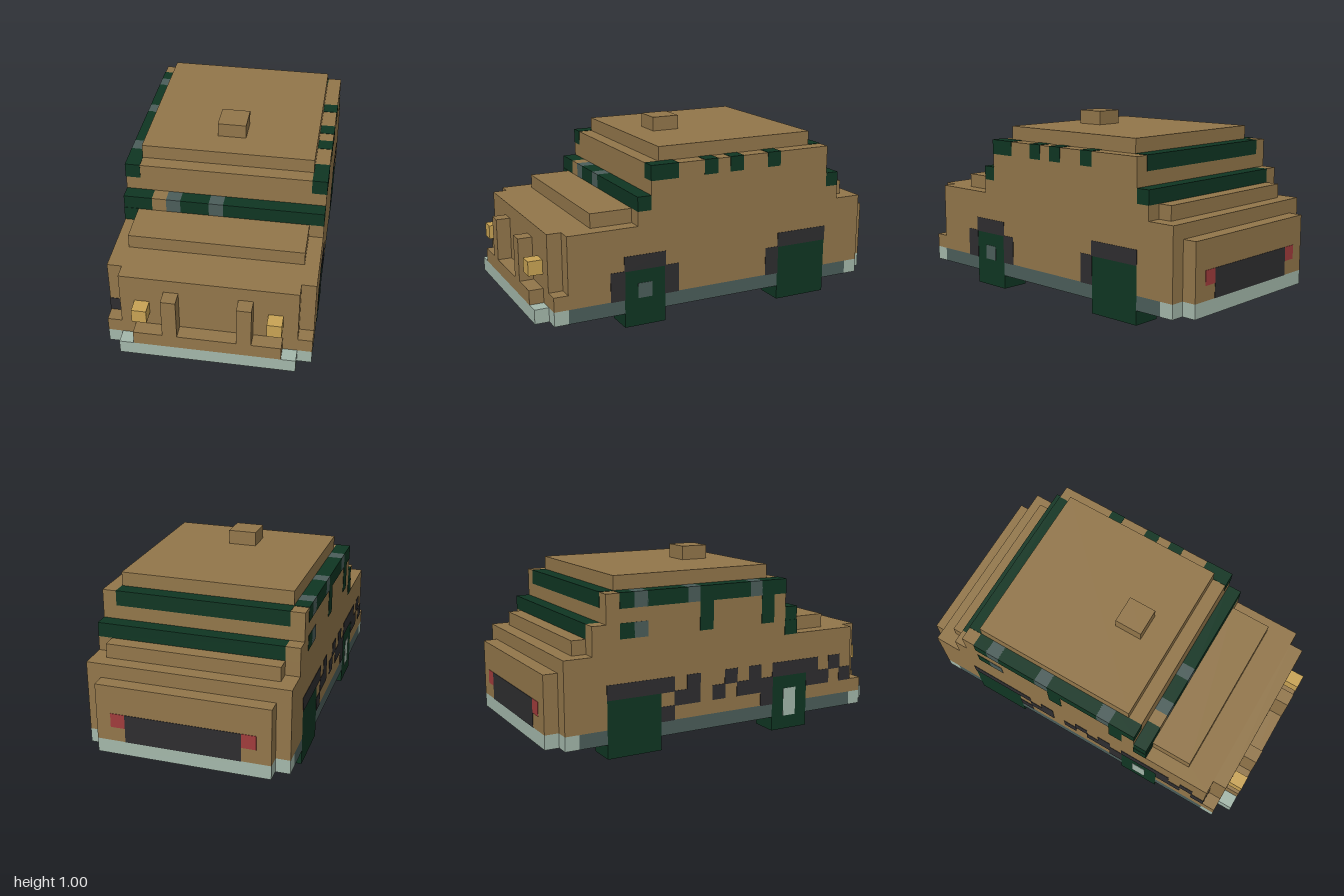
import * as THREE from 'three';

const U = 1 / 13; // one block

function mat(name, color) {
  const m = new THREE.MeshStandardMaterial({ color });
  m.name = name;
  return m;
}

export function createModel() {
  const car = new THREE.Group();
  car.name = 'blockCar';
  const tan = mat('tan', 0x92764a), green = mat('darkGreen', 0x0f3522), pale = mat('paleTeal', 0xa3b7aa);
  const slate = mat('slate', 0x4b5d5a), dark = mat('charcoal', 0x2e2d2f);
  const gold = mat('gold', 0xc8a354), red = mat('red', 0xa03c3c);

  // Box between two corners given in blocks, optionally grown to act as paint
  function box(name, m, x0, x1, y0, y1, z0, z1, grow = 0) {
    const g = new THREE.BoxGeometry((x1 - x0) * U + grow, (y1 - y0) * U + grow, (z1 - z0) * U + grow);
    const mesh = new THREE.Mesh(g, m);
    mesh.position.set((x0 + x1) * U / 2, (y0 + y1) * U / 2, (z0 + z1) * U / 2);
    mesh.name = name;
    car.add(mesh);
  }
  const paint = (name, m, ...r) => box(name, m, ...r, 0.004);

  // Floor and lower body, split by the wheel wells
  for (const [a, b] of [[-11, -9], [-5, 4], [7, 11]]) box('floor', slate, -7, 7, 1, 2, a, b);
  for (const [a, b] of [[-12, -9], [-5, 4], [7, 11]]) box('lowerBody', tan, -7, 7, 2, 4, a, b);
  box('upperBody', tan, -7, 7, 4, 7, -12, 11);

  // Nose and hood
  box('noseLedge', tan, -7, 7, 2, 3, 11, 12);
  box('nose', tan, -6, 6, 3, 7, 11, 12);
  box('grilleBase', tan, -5, 5, 2, 3, 12, 13);
  box('hood', tan, -6, 6, 7, 8, 6, 9);
  for (const s of [-1, 1]) {
    box('grillePost', tan, s * 2.5 - 0.5, s * 2.5 + 0.5, 3, 6, 12, 13);
    box('headlight', gold, s * 4.5 - 0.5, s * 4.5 + 0.5, 4, 5, 12, 13);
  }

  // Bumpers
  for (const s of [-1, 1]) {
    box('bumperInner', pale, -7, 7, 1, 2, s * 11.5 - 0.5, s * 11.5 + 0.5);
    box('bumperOuter', pale, -6, 6, 1, 2, s * 12.5 - 0.5, s * 12.5 + 0.5);
  }

  // Tail with plate and lights
  box('tail', tan, -6, 6, 2, 6, -13, -12);
  box('rearStep', tan, -6, 6, 7, 8, -11, -10);
  box('tailPlate', dark, -4, 4, 2, 4, -13.03, -12.97);
  for (const s of [-1, 1]) box('tailLight', red, s * 4.5 - 0.5, s * 4.5 + 0.5, 3, 4, -13.03, -12.97);

  // Cabin and roof
  box('cabinBase', tan, -7, 7, 7, 8, -10, 6);
  box('cabinMiddle', tan, -7, 7, 8, 9, -9, 5);
  box('cabinTop', tan, -7, 7, 9, 11, -9, 5);
  box('roof', tan, -6, 6, 11, 12, -8, 4);
  box('roofKnob', tan, -1, 1, 12, 13, 0, 2);

  // Lower window rows, front and rear
  for (const [a, b, m] of [[-7, -5, green], [-5, -4, tan], [-4, -3, slate], [-3, -1, green], [-1, 0, slate], [0, 7, green]])
    box('frontWindowRow', m, a, b, 8, 9, 5, 6);
  box('rearWindowRow', green, -6, 7, 8, 9, -10, -9);
  box('rearWindowEnd', tan, -7, -6, 8, 9, -10, -9);
  paint('rearTopWindow', green, -6, 6, 10, 11, -9, -8);
  paint('frontCorner', green, -7, -6, 7, 8, 5, 6);

  // Left side window row
  for (const [a, b] of [[3, 5], [0, 1], [-2, -1], [-5, -4]]) paint('leftWindow', green, 6, 7, 10, 11, a, b);

  // Right side window row, pillars and small patch
  for (const [a, b, m] of [[-8, -7, green], [-7, -6, slate], [-6, -3, green], [-3, -2, slate],
    [-2, 2, green], [2, 3, slate], [3, 5, green]]) paint('rightWindow', m, -7, -6, 10, 11, a, b);
  for (const z of [-2, 3]) paint('rightPillar', green, -7, -6.9, 8, 10, z, z + 1);
  paint('rightPatch', green, -7, -6.9, 8, 9, -8, -7);
  paint('rightPatch', slate, -7, -6.9, 8, 9, -7, -6);

  // Wheels and their arches
  for (const s of [-1, 1]) {
    for (const [a, b] of [[4, 7], [-9, -5]]) {
      box('wheel', green, s * 6 - 1, s * 6 + 1, 0, 4, a, b);
      paint('archTop', dark, s * 6.95 - 0.05, s * 6.95 + 0.05, 4, 5, a, b);
    }
  }
  for (const z of [7, 3, -5]) paint('archSide', dark, 6.9, 7, 2, 4, z, z + 1);
  paint('leftHub', slate, 6.9, 7, 2, 3, 5, 6);
  paint('rightHub', pale, -7, -6.9, 1, 3, 5, 6);

  // Dark speckles on the right side: [z, y]
  const specks = [[-5, 2], [-5, 4], [-4, 3], [-3, 4], [-3, 3], [-1, 3], [0, 4], [1, 3], [2, 4], [2, 3],
    [3, 3], [3, 2], [7, 4], [7, 3], [8, 3], [9, 4]];
  for (const [z, y] of specks) paint('speckle', dark, -7, -6.9, y, y + 1, z, z + 1);
  paint('speckle', dark, -7, -6, 3, 4, 10, 11);

  return car;
}
